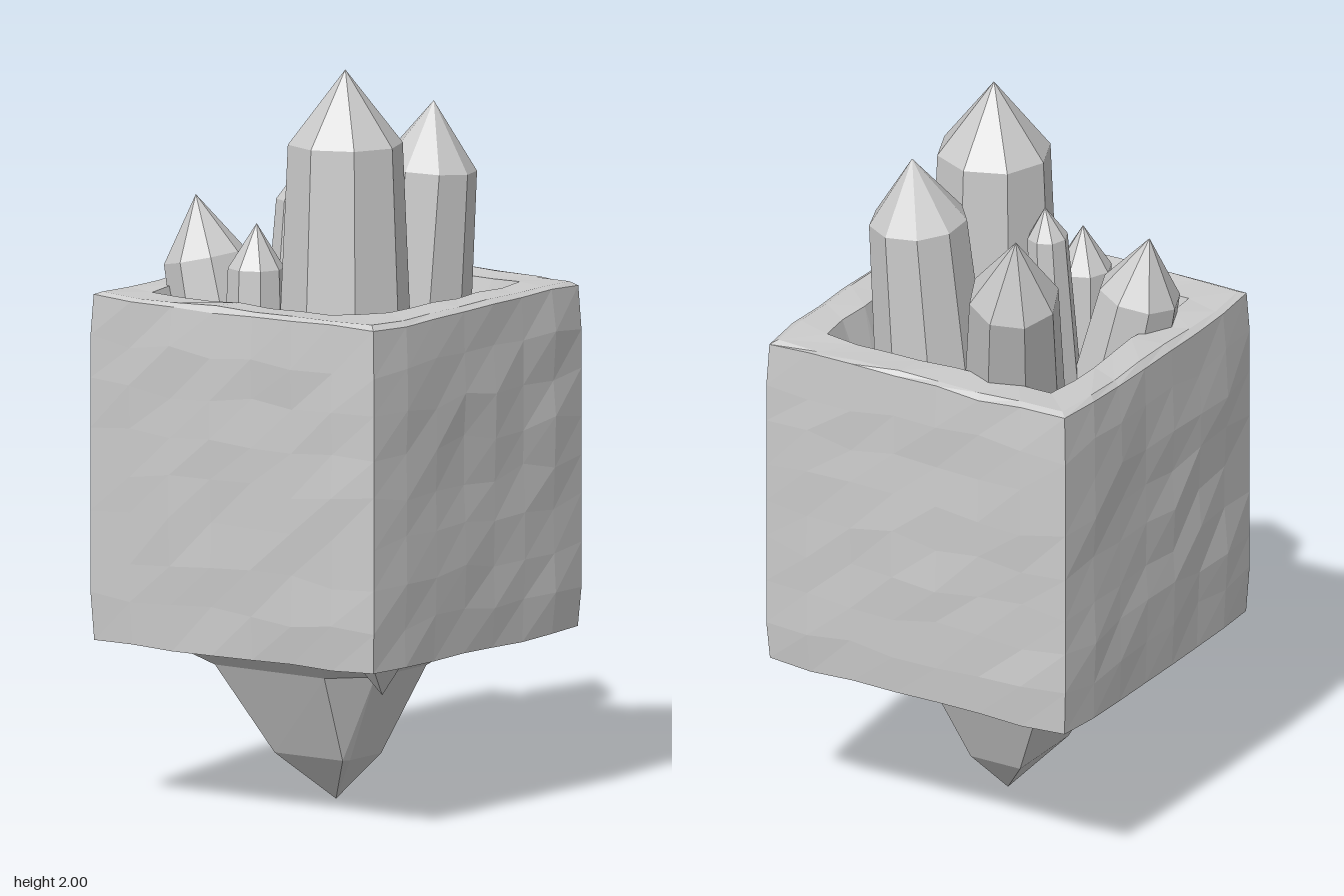
import * as THREE from 'three';

const V = (x, y, z) => new THREE.Vector3(x, y, z);
const material = new THREE.MeshStandardMaterial({ color: 0xcccccc, flatShading: true, side: THREE.DoubleSide });

// Repeatable value from -1 to 1 for a pair of indices
function noise(a, b) {
  const s = Math.sin(a * 127.1 + b * 311.7) * 43758.5453;
  return (s - Math.floor(s)) * 2 - 1;
}

// Joins closed loops of points (counter-clockwise from above) into a faceted skin
function loft(name, rings) {
  const pos = [];
  const tri = (a, b, c) => {
    if (a.distanceTo(b) < 1e-6 || b.distanceTo(c) < 1e-6 || c.distanceTo(a) < 1e-6) return;
    for (const p of [a, b, c]) pos.push(p.x, p.y, p.z);
  };
  for (let i = 0; i < rings.length - 1; i++) {
    const lo = rings[i], hi = rings[i + 1], n = lo.length;
    for (let j = 0; j < n; j++) {
      const k = (j + 1) % n;
      tri(lo[j], lo[k], hi[k]);
      tri(lo[j], hi[k], hi[j]);
    }
  }
  const geo = new THREE.BufferGeometry();
  geo.setAttribute('position', new THREE.Float32BufferAttribute(pos, 3));
  geo.computeVertexNormals();
  const mesh = new THREE.Mesh(geo, material);
  mesh.name = name;
  return mesh;
}

// Regular loop round a centre, square to the given axis
function polygon(center, radius, sides, axis) {
  const turn = new THREE.Quaternion().setFromUnitVectors(V(0, 1, 0), axis);
  return Array.from({ length: sides }, (_, j) => {
    const a = (j / sides) * Math.PI * 2;
    return V(radius * Math.cos(a), 0, -radius * Math.sin(a)).applyQuaternion(turn).add(center);
  });
}

const point = (p, n) => Array.from({ length: n }, () => p.clone());

// Tapered prism with a pointed top
function crystal(name, base, baseR, shoulder, shoulderR, tip, sides = 8) {
  const b = V(...base), s = V(...shoulder), t = V(...tip);
  const axis = s.clone().sub(b).normalize();
  return loft(name, [
    point(b, sides), polygon(b, baseR, sides, axis),
    polygon(s, shoulderR, sides, axis), point(t, sides),
  ]);
}

// Rough square loop; chamfer cuts the front left corner
const SEG = 7;
function squareRing(half, y, id, rough, wave, chamfer = 0) {
  const ring = [];
  for (let side = 0; side < 4; side++) {
    for (let k = 0; k < SEG; k++) {
      const t = (k / SEG) * 2 - 1;
      const bulge = k === 0 ? 0 : 0.009 + rough * noise(id, side * SEG + k);
      const p = V(half + bulge, y + wave * noise(id + 20, side * SEG + k), -t * half)
        .applyAxisAngle(V(0, 1, 0), side * Math.PI / 2);
      const over = p.x + p.z - (2 * half - chamfer);
      if (chamfer && over > 0) { p.x -= over / 2; p.z -= over / 2; }
      ring.push(p);
    }
  }
  return ring;
}

function createBlock() {
  const n = SEG * 4;
  const rings = [point(V(0, 0.445, 0), n), squareRing(0.461, 0.447, 0, 0.003, 0.004)];
  // Uneven outer walls
  for (let i = 1; i < 8; i++) {
    rings.push(squareRing(0.468, 0.447 + i * 0.116, i, 0.006, 0.016));
  }
  // Rim, sloping inner walls and floor
  rings.push(
    squareRing(0.462, 1.376, 9, 0.004, 0.006),
    squareRing(0.445, 1.386, 10, 0.004, 0.005),
    squareRing(0.35, 1.383, 11, 0.006, 0.004, 0.11),
    squareRing(0.255, 1.0, 12, 0.004, 0, 0.08),
    point(V(0, 1.0, 0), n),
  );
  return loft('hollowBlock', rings);
}

// Faceted point hanging under the block
function createSpike() {
  const loop = (y, pts, s = 1) => pts.map(([x, z]) => V(x * s, y, z * s));
  const wide = [[0.13, 0.23], [0.225, 0.13], [0.225, -0.1], [0.1, -0.23], [-0.235, -0.23], [-0.235, 0.225]];
  const narrow = [[0.11, 0.12], [0.12, 0.1], [0.12, -0.04], [0.04, -0.125], [-0.115, -0.125], [-0.115, 0.12]];
  return loft('bottomSpike', [
    point(V(0, 0, 0), 6), loop(0.13, narrow), loop(0.37, wide), loop(0.46, wide, 1.55), point(V(0, 0.46, 0), 6),
  ]);
}

// Small point under the block
function shard(name, tip, root, radius) {
  const r = V(...root);
  return loft(name, [point(V(...tip), 5), polygon(r, radius, 5, V(0, 1, 0)), point(r, 5)]);
}

export function createModel() {
  const group = new THREE.Group();
  group.add(createBlock(), createSpike());

  // Shards beside the spike
  group.add(
    shard('leftShard', [0.27, 0.33, 0.16], [0.27, 0.46, 0.17], 0.1),
    shard('rightShard', [-0.24, 0.34, -0.2], [-0.26, 0.46, -0.22], 0.11),
  );

  // Crystals growing out of the hollow
  group.add(
    crystal('tallCrystal', [0.125, 0.95, 0.13], 0.192, [0.115, 1.8, 0.115], 0.155, [0.115, 2, 0.115]),
    crystal('backLeftCrystal', [0.13, 0.95, -0.13], 0.165, [0.17, 1.7, -0.18], 0.133, [0.18, 1.88, -0.195], 9),
    crystal('leaningCrystal', [-0.07, 0.9, -0.08], 0.155, [-0.225, 1.63, -0.335], 0.122, [-0.265, 1.82, -0.39]),
    crystal('frontRightCrystal', [-0.19, 0.95, 0.165], 0.145, [-0.305, 1.46, 0.175], 0.112, [-0.335, 1.625, 0.175]),
    crystal('smallBackCrystal', [-0.11, 0.95, 0.085], 0.078, [-0.09, 1.62, 0.055], 0.055, [-0.085, 1.705, 0.05]),
    crystal('smallFrontCrystal', [-0.09, 0.95, 0.24], 0.096, [-0.092, 1.46, 0.235], 0.076, [-0.09, 1.58, 0.235]),
  );
  return group;
}
